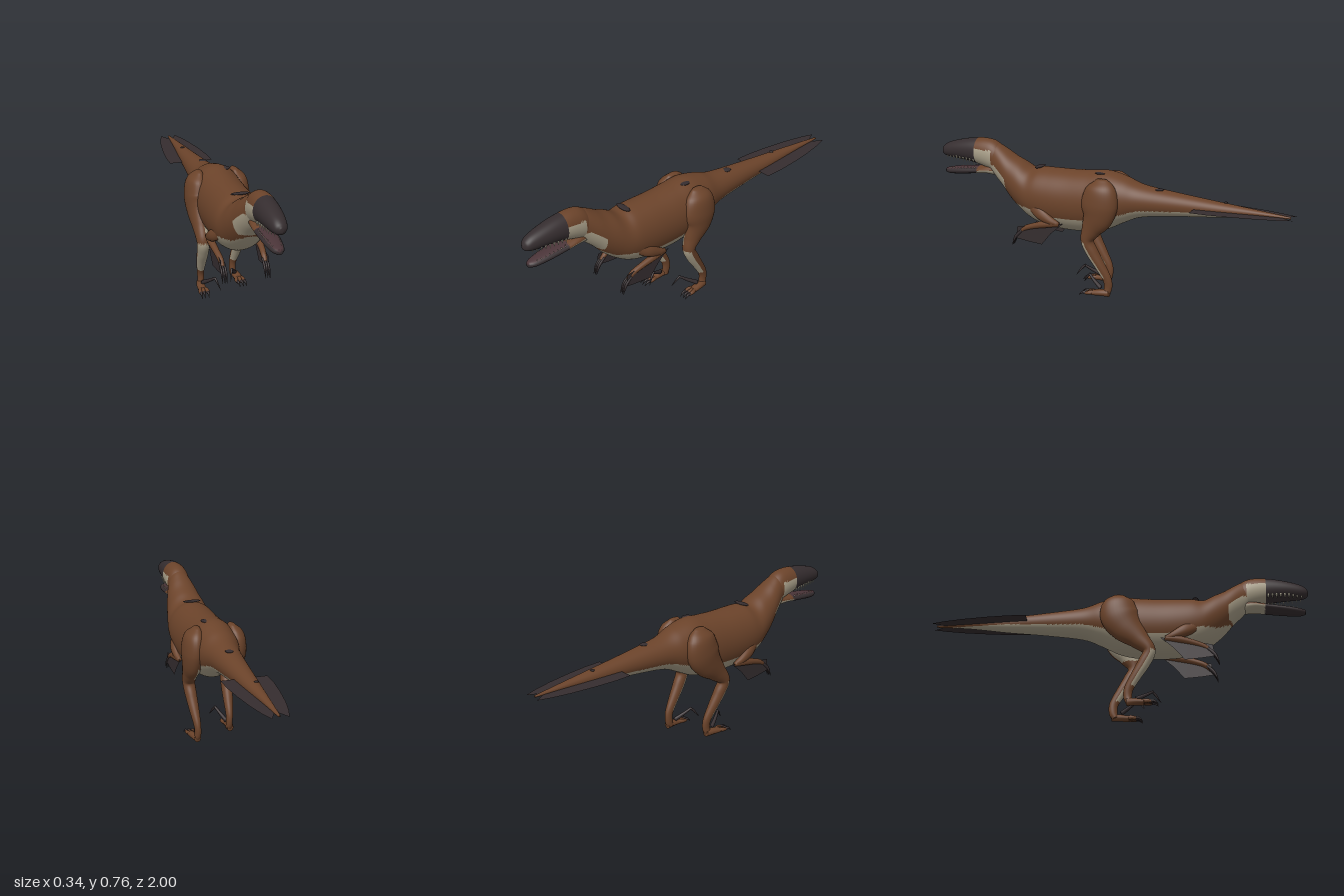
import * as THREE from 'three';

const flat = (name, color, side = THREE.FrontSide) => {
  const m = new THREE.MeshStandardMaterial({ color, side });
  m.name = name;
  return m;
};

export function createModel() {
  const brown = flat('brown hide', 0x6b432a);
  const tan = flat('pale underside', 0xa89e88);
  const dark = flat('dark horn', 0x352d2f, THREE.DoubleSide);
  const ivory = flat('ivory teeth', 0xcfc8b0);
  const mouth = flat('mouth', 0x4a3438);
  const hides = [brown, tan, dark, mouth];
  const BROWN = 0, TAN = 1, DARK = 2, MOUTH = 3;
  const model = new THREE.Group();
  model.name = 'feathered dinosaur';

  const add = (name, geometry, material, parent = model) => {
    const mesh = new THREE.Mesh(geometry, material);
    mesh.name = name;
    parent.add(mesh);
    return mesh;
  };

  // Smooth loft through sections [x, y, z, half width, half depth];
  // rule(point, normal) picks the colour of each face.
  function loft(name, sections, rule, { rings = 40, sides = 20, upright = false, parent = model } = {}) {
    const path = new THREE.CatmullRomCurve3(sections.map(s => new THREE.Vector3(s[0], s[1], s[2])), false, 'catmullrom', 0.5);
    const size = new THREE.CatmullRomCurve3(sections.map(s => new THREE.Vector3(s[3], s[4], 0)), false, 'catmullrom', 0.5);
    const S = new THREE.Vector3(1, 0, 0), verts = [], norms = [];
    for (let i = 0; i <= rings; i++) {
      const c = path.getPoint(i / rings), r = size.getPoint(i / rings);
      const T = upright ? new THREE.Vector3(0, 0, 1) : path.getTangent(i / rings);
      const U = T.cross(S).normalize();
      for (let j = 0; j < sides; j++) {
        const a = j / sides * Math.PI * 2;
        const n = new THREE.Vector3().addScaledVector(S, Math.cos(a)).addScaledVector(U, Math.sin(a));
        verts.push(c.clone().addScaledVector(S, Math.cos(a) * Math.max(r.x, 0.001)).addScaledVector(U, Math.sin(a) * Math.max(r.y, 0.001)));
        norms.push(n);
      }
    }
    const first = verts.push(path.getPoint(0)) - 1, last = verts.push(path.getPoint(1)) - 1;
    const faces = hides.map(() => []);
    const put = (a, b, c, n) => {
      const p = verts[a].clone().add(verts[b]).add(verts[c]).divideScalar(3);
      faces[rule(p, n)].push(a, b, c);
    };
    for (let j = 0; j < sides; j++) {
      const k = (j + 1) % sides, e = rings * sides;
      for (let i = 0; i < rings; i++) {
        const a = i * sides + j, b = i * sides + k, n = norms[a].clone().add(norms[b]).normalize();
        put(a, b, a + sides, n);
        put(b, b + sides, a + sides, n);
      }
      put(first, k, j, norms[j]);
      put(last, e + j, e + k, norms[e + j]);
    }
    const g = new THREE.BufferGeometry().setFromPoints(verts);
    g.setIndex(faces.flat());
    let start = 0;
    faces.forEach((f, m) => { if (f.length) g.addGroup(start, f.length, m); start += f.length; });
    g.computeVertexNormals();
    return add(name, g, hides, parent);
  }

  // Sections along z given as [z, top, bottom, half width]
  const slices = list => list.map(([z, t, b, w]) => [0, (t + b) / 2, z, w, (t - b) / 2]);
  const lerpTable = (table, v) => {
    let i = 0;
    while (i < table.length - 2 && v > table[i + 1][0]) i++;
    const [a, b] = [table[i], table[i + 1]];
    return THREE.MathUtils.lerp(a[1], b[1], THREE.MathUtils.clamp((v - a[0]) / (b[0] - a[0]), 0, 1));
  };

  // Body: tail, trunk and neck with a pale belly and throat
  const bellyLine = [[-1, 0.515], [-0.6, 0.51], [-0.2, 0.485], [-0.1, 0.455], [0, 0.42], [0.25, 0.4], [0.4, 0.435], [0.5, 0.445], [0.62, 0.475]];
  loft('body', slices([
    [-0.98, 0.528, 0.518, 0.006], [-0.8, 0.545, 0.507, 0.022], [-0.6, 0.563, 0.482, 0.042], [-0.4, 0.582, 0.462, 0.06],
    [-0.2, 0.605, 0.435, 0.083], [-0.1, 0.638, 0.395, 0.108], [0, 0.66, 0.345, 0.128], [0.1, 0.652, 0.322, 0.132],
    [0.2, 0.645, 0.316, 0.133], [0.3, 0.643, 0.32, 0.134], [0.38, 0.641, 0.335, 0.132], [0.44, 0.632, 0.36, 0.125],
    [0.5, 0.662, 0.4, 0.113], [0.55, 0.685, 0.445, 0.1], [0.6, 0.715, 0.502, 0.085], [0.65, 0.742, 0.55, 0.067], [0.69, 0.745, 0.6, 0.055],
  ]), (p, n) => {
    if (p.z > 0.57 && p.y > 0.497 && p.y < 0.635 && n.y < -0.1) return TAN;
    return p.y < lerpTable(bellyLine, p.z) + (p.z > 0.5 ? 0.02 - p.x * p.x * 4 : 0) ? TAN : BROWN;
  }, { rings: 130, sides: 64, upright: true });

  // Dark spots lying along the back
  for (const [x, y, z, w, l] of [[0, 0.642, 0.4, 0.05, 0.02], [0.04, 0.651, 0.03, 0.02, 0.028], [0.01, 0.592, -0.29, 0.022, 0.022], [-0.01, 0.56, -0.64, 0.012, 0.01]]) {
    add('backSpot', new THREE.SphereGeometry(1, 16, 8).scale(w, 0.0045, l).translate(x, y, z), dark);
  }

  // Head: skull, lower jaw and teeth
  loft('skull', slices([
    [0.6, 0.7, 0.57, 0.05], [0.66, 0.75, 0.585, 0.063], [0.72, 0.765, 0.605, 0.064], [0.8, 0.76, 0.625, 0.06],
    [0.88, 0.745, 0.635, 0.053], [0.95, 0.725, 0.64, 0.042], [0.985, 0.705, 0.648, 0.03], [1, 0.685, 0.662, 0.008],
  ]), (p, n) => {
    if (p.z > 0.775) return DARK;
    if (p.z > 0.67 && p.y < 0.71) return TAN;
    return n.y < -0.6 ? TAN : BROWN;
  }, { rings: 60, sides: 40, upright: true });
  loft('lowerJaw', slices([
    [0.66, 0.63, 0.565, 0.045], [0.72, 0.618, 0.572, 0.052], [0.78, 0.607, 0.565, 0.05], [0.88, 0.595, 0.552, 0.044],
    [0.95, 0.583, 0.546, 0.032], [0.98, 0.575, 0.55, 0.015],
  ]), (p, n) => p.z < 0.765 ? (n.y < 0 ? TAN : BROWN) : n.y > 0.6 ? MOUTH : DARK, { rings: 40, sides: 28, upright: true });
  const teeth = new THREE.Group();
  teeth.name = 'teeth';
  model.add(teeth);
  for (const s of [-1, 1]) for (let i = 0; i < 9; i++) {
    const z = 0.785 + i * 0.022, w = 0.047 - i * i * 0.0004;
    add('upperTooth', new THREE.ConeGeometry(0.006, 0.028, 6).rotateX(Math.PI).translate(s * w, 0.639 + i * 0.001, z), ivory, teeth);
    if (i < 8) add('lowerTooth', new THREE.ConeGeometry(0.004, 0.018, 6).translate(s * w * 0.78, 0.602 - i * 0.0032, z), ivory, teeth);
  }

  // Flat plate from outline points
  const plate = pts => new THREE.ShapeGeometry(new THREE.Shape(pts.map(p => new THREE.Vector2(...p))));
  const allDark = () => DARK, allBrown = () => BROWN;

  for (const s of [-1, 1]) {
    const side = s > 0 ? 'left' : 'right';

    // Tail fan blade
    const fan = plate([[0.02, 0.49], [0.12, 0.49], [0.12, 0.58], [0.108, 0.7], [0.088, 0.83], [0.065, 0.93], [0.042, 1], [0.005, 0.93]].map(([x, z]) => [s * x, z]));
    add(side + 'TailFan', fan.rotateX(-Math.PI / 2).translate(0, 0.522, 0), dark);

    // Leg; the right one stands a step ahead
    const leg = new THREE.Group();
    leg.name = side + 'Leg';
    model.add(leg);
    const step = y => s > 0 ? 0 : 0.085 * THREE.MathUtils.clamp((0.5 - y) / 0.2, 0, 1);
    const place = list => list.map(([x, y, z, w, d]) => [s * x, y, z + step(y), w, d]);
    const limb = { parent: leg, rings: 16, sides: 12 };
    loft(side + 'ThighAndShin', place([
      [0.095, 0.635, -0.005, 0.015, 0.03], [0.108, 0.59, -0.005, 0.048, 0.08], [0.115, 0.51, 0, 0.056, 0.1],
      [0.117, 0.44, 0.01, 0.05, 0.085], [0.117, 0.37, 0.045, 0.04, 0.055], [0.117, 0.305, 0.07, 0.034, 0.034],
      [0.113, 0.24, 0.042, 0.031, 0.033], [0.108, 0.17, 0, 0.026, 0.028], [0.103, 0.1, -0.038, 0.019, 0.024],
      [0.101, 0.05, -0.042, 0.017, 0.022], [0.105, 0.018, -0.03, 0.02, 0.018],
    ]), (p, n) => (p.y > 0.11 && p.y < 0.3 && n.z > 0.1) || (p.y > 0.34 && p.y < 0.42 && n.x * s < -0.2) ? TAN : BROWN,
    { parent: leg, rings: 70, sides: 32 });
    loft(side + 'Foot', place([[0.105, 0.025, -0.05, 0.018, 0.02], [0.11, 0.025, -0.01, 0.022, 0.018], [0.113, 0.02, 0.04, 0.024, 0.014]]), allBrown, limb);
    for (const x of [0.094, 0.114, 0.131]) {
      loft('toe', place([[0.111, 0.022, 0.01, 0.01, 0.012], [x, 0.022, 0.05, 0.01, 0.011], [x, 0.017, 0.078, 0.008, 0.008]]), allBrown, limb);
      loft('toeClaw', place([[x, 0.018, 0.068, 0.008, 0.009], [x + 0.002, 0.02, 0.09, 0.006, 0.007], [x + 0.004, 0.003, 0.112, 0.001, 0.001]]), allDark, limb);
    }
    // Raised sickle claw
    loft('sickleToe', place([[0.1, 0.045, 0.0, 0.012, 0.012], [0.08, 0.072, 0.045, 0.01, 0.009], [0.06, 0.1, 0.085, 0.007, 0.006]]), allDark, limb);
    loft('sickleClaw', place([[0.06, 0.102, 0.08, 0.007, 0.006], [0.052, 0.08, 0.1, 0.005, 0.006], [0.04, 0.045, 0.125, 0.001, 0.001]]), allDark, limb);

    // Arm with hand claws and a feather plate
    const arm = new THREE.Group();
    arm.name = side + 'Arm';
    model.add(arm);
    const reach = list => list.map(([x, ...r]) => [s * x, ...r]);
    const armLimb = { parent: arm, rings: 24, sides: 14 };
    loft('upperArm', reach([[0.1, 0.45, 0.4, 0.02, 0.03], [0.118, 0.415, 0.34, 0.024, 0.033], [0.122, 0.385, 0.28, 0.02, 0.022], [0.12, 0.372, 0.24, 0.012, 0.012]]), allBrown, armLimb);
    loft('forearm', reach([[0.12, 0.372, 0.235, 0.012, 0.013], [0.12, 0.365, 0.3, 0.019, 0.019], [0.117, 0.345, 0.38, 0.016, 0.016], [0.112, 0.322, 0.44, 0.015, 0.014], [0.111, 0.295, 0.47, 0.012, 0.01]]), allBrown, armLimb);
    for (const x of [0.1, 0.111, 0.122]) {
      loft('handClaw', reach([[x, 0.31, 0.455, 0.005, 0.007], [x, 0.278, 0.488, 0.006, 0.008], [x, 0.25, 0.503, 0.004, 0.005], [x, 0.223, 0.512, 0.001, 0.001]]), allDark, armLimb);
    }
    const wing = plate([[-0.48, 0.33], [-0.36, 0.352], [-0.21, 0.376], [-0.28, 0.315], [-0.335, 0.248], [-0.42, 0.255], [-0.49, 0.265]]);
    add('armFeathers', wing.rotateY(Math.PI / 2).translate(s * 0.122, 0, 0), dark, arm);
  }
  return model;
}
